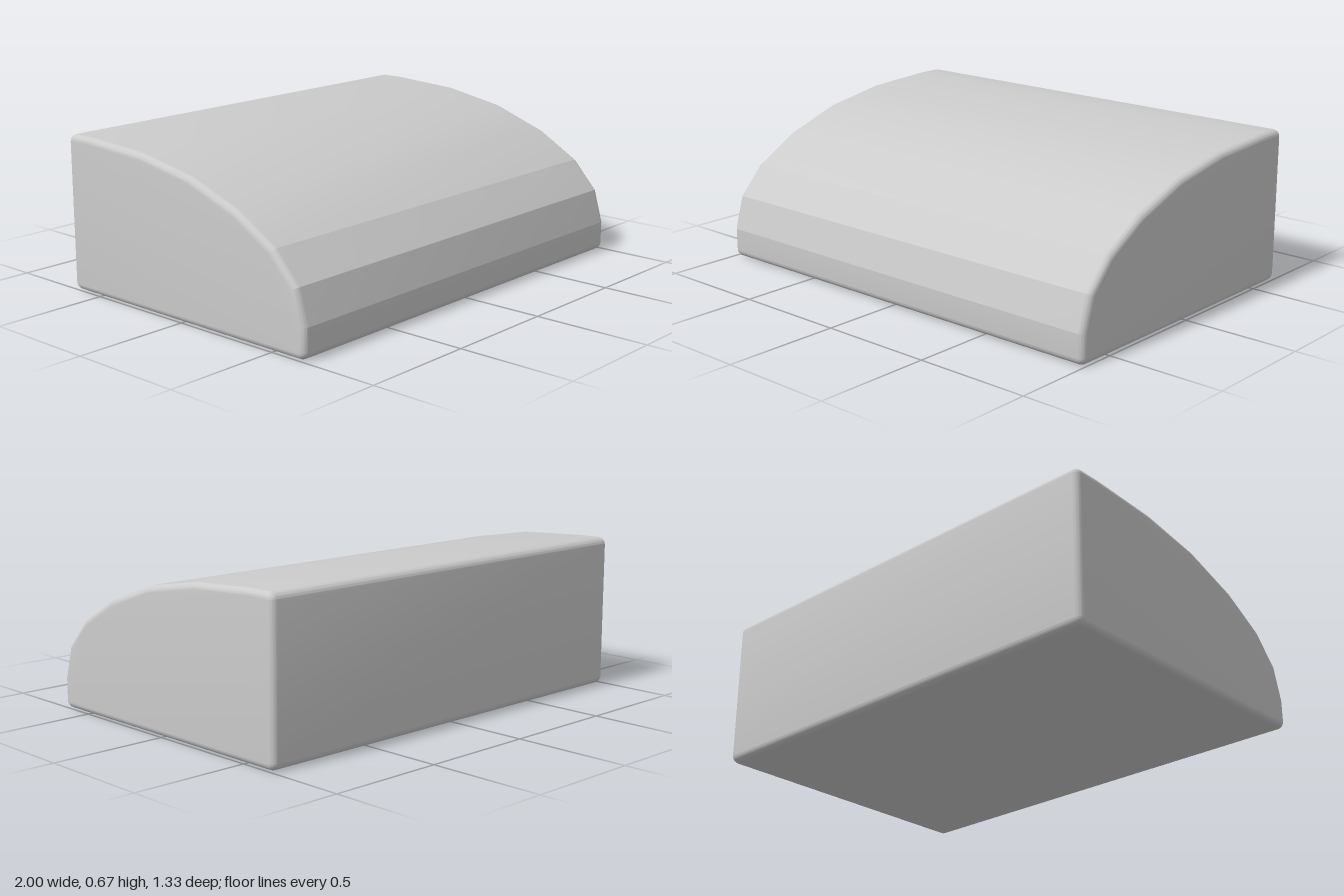
import * as THREE from 'three';
import { toCreasedNormals } from 'three/addons/utils/BufferGeometryUtils.js';

export function createModel() {
  const width = 2, bevel = 0.028, r = 0.034;
  const front = 0.667, back = -0.667, top = 0.667;

  // Side profile (z, y): faceted curve up the front, rounded corners elsewhere
  const profile = new THREE.Shape();
  profile.moveTo(front, 0.13);
  [[0.625, 0.275], [0.51, 0.4], [0.32, 0.51], [0.065, 0.6], [-0.22, 0.65], [-0.53, top]]
    .forEach(([z, y]) => profile.lineTo(z, y));
  profile.lineTo(back + r, top);
  profile.absarc(back + r, top - r, r, Math.PI / 2, Math.PI, false);
  profile.absarc(back + r, r, r, Math.PI, Math.PI * 1.5, false);
  profile.absarc(front - r, r, r, Math.PI * 1.5, Math.PI * 2, false);
  profile.closePath();

  // Extrude across the width with small rounded edges at both ends
  const extruded = new THREE.ExtrudeGeometry(profile, {
    depth: width - 2 * bevel,
    curveSegments: 8,
    bevelEnabled: true,
    bevelThickness: bevel,
    bevelSize: bevel,
    bevelOffset: -bevel,
    bevelSegments: 8,
  });
  extruded.translate(0, 0, bevel - width / 2);
  extruded.rotateY(-Math.PI / 2);

  const body = new THREE.Mesh(
    toCreasedNormals(extruded, 0.25),
    new THREE.MeshStandardMaterial({ color: 0xcccccc })
  );
  body.name = 'curvedBlock';

  const group = new THREE.Group();
  group.name = 'slopedBlock';
  group.add(body);
  return group;
}
